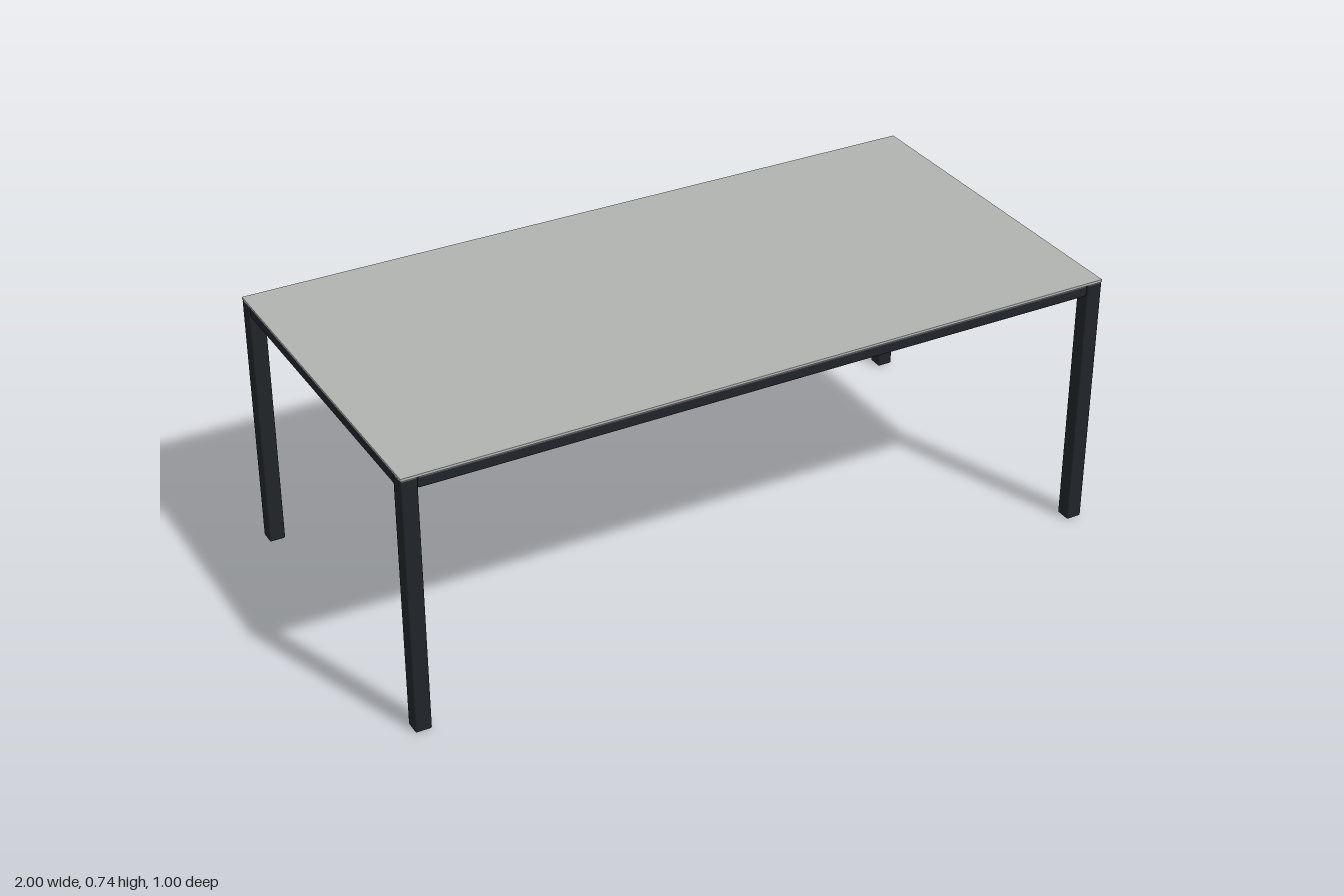
import * as THREE from 'three';
import { RoundedBoxGeometry } from 'three/addons/geometries/RoundedBoxGeometry.js';

export function createModel() {
  const table = new THREE.Group();
  table.name = 'table';

  const frame = new THREE.MeshStandardMaterial({ color: 0x202428 });
  const panel = new THREE.MeshStandardMaterial({ color: 0xb0b2b0 });

  const halfX = 1, halfZ = 0.5, topY = 0.737, frameY = 0.73;
  const leg = 0.044, railH = 0.033, railW = 0.04;

  const add = (name, geometry, material, x, y, z) => {
    const mesh = new THREE.Mesh(geometry, material);
    mesh.name = name;
    mesh.position.set(x, y, z);
    table.add(mesh);
  };

  // Thin flat panel
  add('tableTop', new THREE.BoxGeometry(2 * halfX, topY - frameY, 2 * halfZ), panel,
    0, (topY + frameY) / 2, 0);

  // Square legs with softened edges, one at each corner
  const legGeometry = new RoundedBoxGeometry(leg, frameY, leg, 3, 0.004);
  for (const sx of [-1, 1]) for (const sz of [-1, 1]) {
    const name = (sz > 0 ? 'front' : 'back') + (sx > 0 ? 'Left' : 'Right') + 'Leg';
    add(name, legGeometry, frame, sx * (halfX - leg / 2), frameY / 2, sz * (halfZ - leg / 2));
  }

  // Rails running between the legs under the panel
  const longRail = new RoundedBoxGeometry(2 * (halfX - leg), railH, railW, 3, 0.006);
  const shortRail = new RoundedBoxGeometry(railW, railH, 2 * (halfZ - leg), 3, 0.006);
  const railY = frameY - railH / 2;
  for (const s of [-1, 1]) {
    add(s > 0 ? 'frontRail' : 'backRail', longRail, frame, 0, railY, s * (halfZ - leg / 2));
    add(s > 0 ? 'leftRail' : 'rightRail', shortRail, frame, s * (halfX - leg / 2), railY, 0);
  }

  return table;
}
